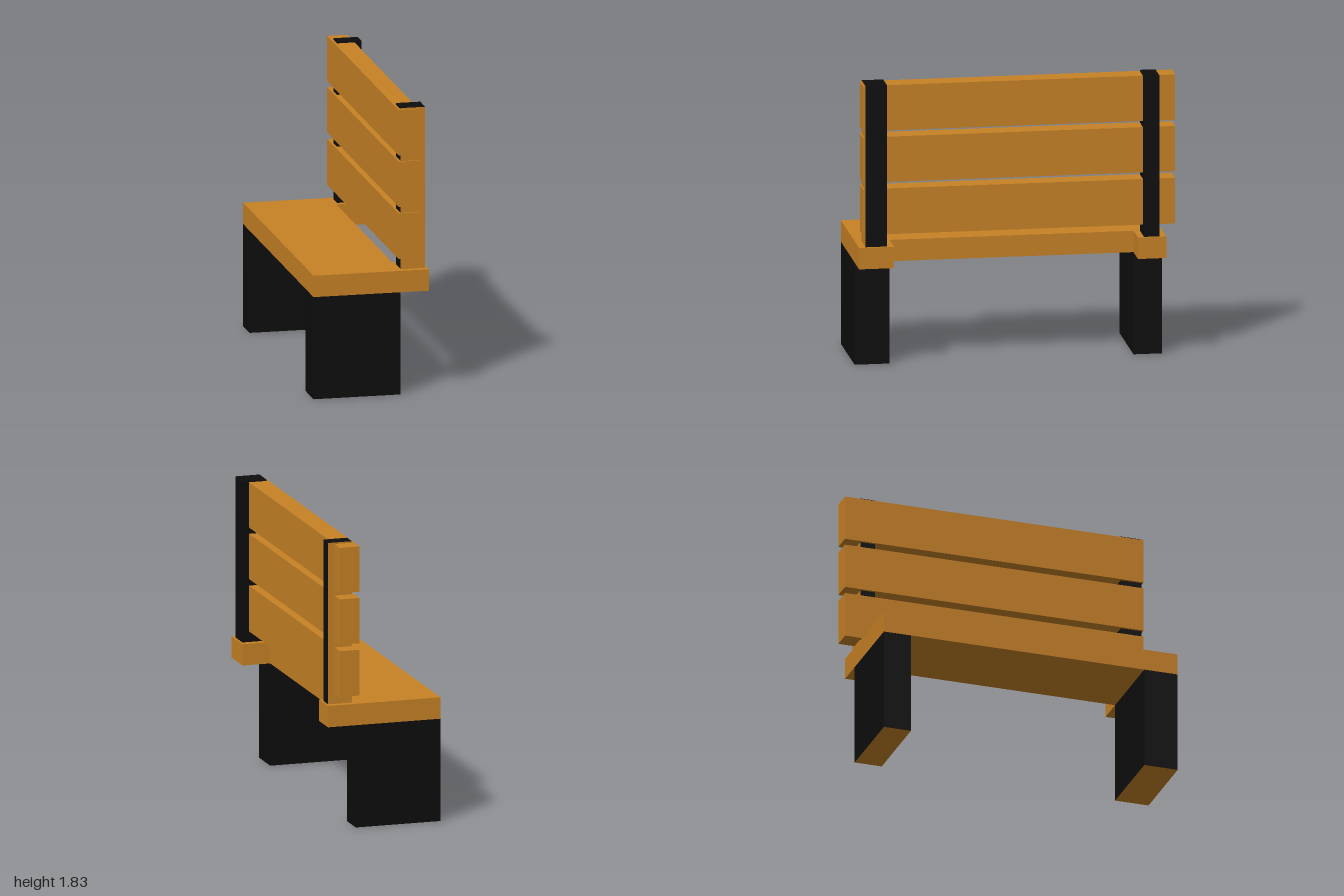
import * as THREE from 'three';

export function createModel() {
  const bench = new THREE.Group();
  bench.name = 'bench';
  const wood = new THREE.MeshStandardMaterial({ color: 0xc88226 });
  const black = new THREE.MeshStandardMaterial({ color: 0x0d0d0d });

  // Box from its min and max along each axis
  function box(name, [x0, x1], [y0, y1], [z0, z1], material) {
    const mesh = new THREE.Mesh(new THREE.BoxGeometry(x1 - x0, y1 - y0, z1 - z0), material);
    mesh.position.set((x0 + x1) / 2, (y0 + y1) / 2, (z0 + z1) / 2);
    mesh.name = name;
    bench.add(mesh);
  }

  // Seat: one board with a tab at each end that carries a back post
  const outline = [
    [-0.37, -0.935], [0.367, -0.935], [0.367, -0.757], [0.185, -0.757],
    [0.185, 0.78], [0.367, 0.78], [0.367, 1], [-0.37, 1],
  ];
  const shape = new THREE.Shape(outline.map(([x, z]) => new THREE.Vector2(x, -z)));
  const seatGeometry = new THREE.ExtrudeGeometry(shape, { depth: 0.137, bevelEnabled: false });
  seatGeometry.rotateX(-Math.PI / 2);
  const seat = new THREE.Mesh(seatGeometry, wood);
  seat.position.y = 0.655;
  seat.name = 'seat';
  bench.add(seat);

  // Legs: black slabs with bare wood undersides
  const legFaces = [black, black, black, wood, black, black];
  box('leftLeg', [-0.37, 0.185], [0, 0.655], [0.78, 1], legFaces);
  box('rightLeg', [-0.37, 0.185], [0, 0.655], [-0.935, -0.757], legFaces);

  // Back posts: black with bare wood on the outer side
  box('leftPost', [0.197, 0.353], [0.792, 1.825], [0.822, 0.957], [black, black, black, black, wood, black]);
  box('rightPost', [0.197, 0.353], [0.792, 1.825], [-0.893, -0.797], [black, black, black, black, black, wood]);

  // Backrest slats
  [[0.86, 1.153], [1.195, 1.485], [1.525, 1.815]].forEach((span, i) => {
    box(`backSlat${i + 1}`, [0.182, 0.31], span, [-1, 0.967], wood);
  });

  return bench;
}
